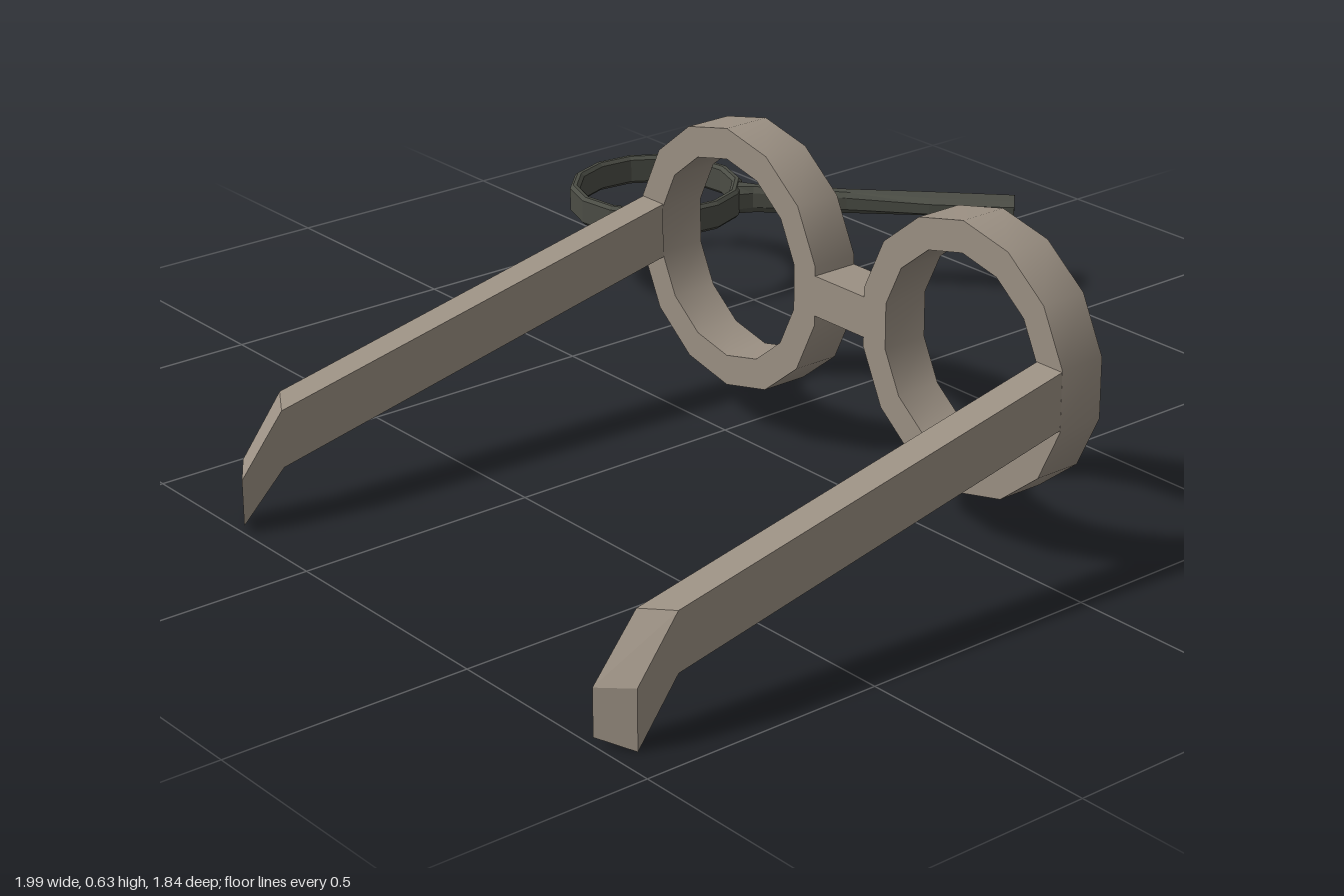
import * as THREE from 'three';
import { toCreasedNormals } from 'three/addons/utils/BufferGeometryUtils.js';

const SIDES = 14;

// Skin a row of matching cross-sections (counter-clockwise about the direction of travel) and cap both ends
function loft(sections) {
  const pos = [];
  const tri = (a, b, c) => pos.push(...a, ...b, ...c);
  const n = sections[0].length;
  for (let i = 0; i < sections.length - 1; i++) {
    for (let j = 0; j < n; j++) {
      const k = (j + 1) % n;
      const [s, t] = [sections[i], sections[i + 1]];
      tri(s[j], s[k], t[k]);
      tri(s[j], t[k], t[j]);
    }
  }
  const first = sections[0], last = sections[sections.length - 1];
  for (let j = 1; j < n - 1; j++) {
    tri(first[0], first[j + 1], first[j]);
    tri(last[0], last[j], last[j + 1]);
  }
  const g = new THREE.BufferGeometry();
  g.setAttribute('position', new THREE.Float32BufferAttribute(pos, 3));
  g.computeVertexNormals();
  return g;
}

// Regular polygon with a corner at the top
function polygon(radius) {
  return Array.from({ length: SIDES }, (_, i) => {
    const a = Math.PI / 2 + (i / SIDES) * Math.PI * 2;
    return new THREE.Vector2(Math.cos(a) * radius, Math.sin(a) * radius);
  });
}

export function createModel() {
  const model = new THREE.Group();
  model.name = 'glassesAndMagnifier';
  const frameMat = new THREE.MeshStandardMaterial({ color: 0x9b9083 });
  frameMat.name = 'taupe frame';
  const darkMat = new THREE.MeshStandardMaterial({ color: 0x4b4d45 });
  darkMat.name = 'dark metal';

  const add = (parent, name, geometry, material) => {
    const mesh = new THREE.Mesh(geometry, material);
    mesh.name = name;
    parent.add(mesh);
    return mesh;
  };

  // Spectacles, facing +x
  const glasses = new THREE.Group();
  glasses.name = 'glasses';
  glasses.position.z = 0.324;
  model.add(glasses);

  const rimShape = new THREE.Shape(polygon(0.27));
  rimShape.holes.push(new THREE.Path(polygon(0.207)));
  const rimGeo = toCreasedNormals(
    new THREE.ExtrudeGeometry(rimShape, { depth: 0.1, bevelEnabled: false }).rotateY(Math.PI / 2),
    Math.PI / 6
  );

  // Temple stations from hinge to tip: [outer x, top, bottom, inner x, top, bottom]
  const stations = [
    [0.012, 0.42, 0.307, 0.012, 0.42, 0.307],
    [-0.868, 0.233, 0.117, -0.906, 0.225, 0.109],
    [-0.956, 0.118, 0.0, -1.0, 0.109, 0.016],
  ];

  for (const side of [1, -1]) {
    const label = side > 0 ? 'front' : 'back';
    add(glasses, label + 'Rim', rimGeo, frameMat).position.set(0.012, 0.363, side * 0.333);

    const outer = side * 0.596, inner = side * 0.532;
    const sections = stations.map(([ox, ot, ob, ix, it, ib]) => {
      const ring = [[ox, ot, outer], [ix, it, inner], [ix, ib, inner], [ox, ob, outer]];
      return side > 0 ? ring : ring.reverse();
    });
    add(glasses, label + 'Temple', loft(sections), frameMat);
  }
  add(glasses, 'bridge', new THREE.BoxGeometry(0.1, 0.082, 0.142), frameMat).position.set(0.062, 0.363, 0);

  // Magnifier lying flat, handle pointing diagonally
  const magnifier = new THREE.Group();
  magnifier.name = 'magnifier';
  magnifier.position.set(0.413, 0.2, -0.73);
  magnifier.rotation.y = Math.PI / 4;
  model.add(magnifier);

  // Lens ring with chamfered edges
  const profile = [
    [0.168, -0.025], [0.175, -0.032], [0.183, -0.032], [0.19, -0.025],
    [0.19, 0.025], [0.183, 0.032], [0.175, 0.032], [0.168, 0.025], [0.168, -0.025],
  ].map(([r, y]) => new THREE.Vector2(r, y));
  const ringGeo = new THREE.LatheGeometry(profile, SIDES, Math.PI / SIDES).toNonIndexed();
  ringGeo.computeVertexNormals();
  add(magnifier, 'lensRing', ringGeo, darkMat);

  // Handle: [distance, half width, half height], chamfered section
  const handle = [
    [0.18, 0.03, 0.031], [0.215, 0.016, 0.03], [0.42, 0.02, 0.024],
    [0.6, 0.038, 0.02], [0.785, 0.038, 0.018],
  ].map(([z, w, h]) => {
    const c = 0.55;
    return [[1, -c], [1, c], [c, 1], [-c, 1], [-1, c], [-1, -c], [-c, -1], [c, -1]]
      .map(([x, y]) => [x * w, y * h, z]);
  });
  add(magnifier, 'handle', loft(handle), darkMat);

  return model;
}
